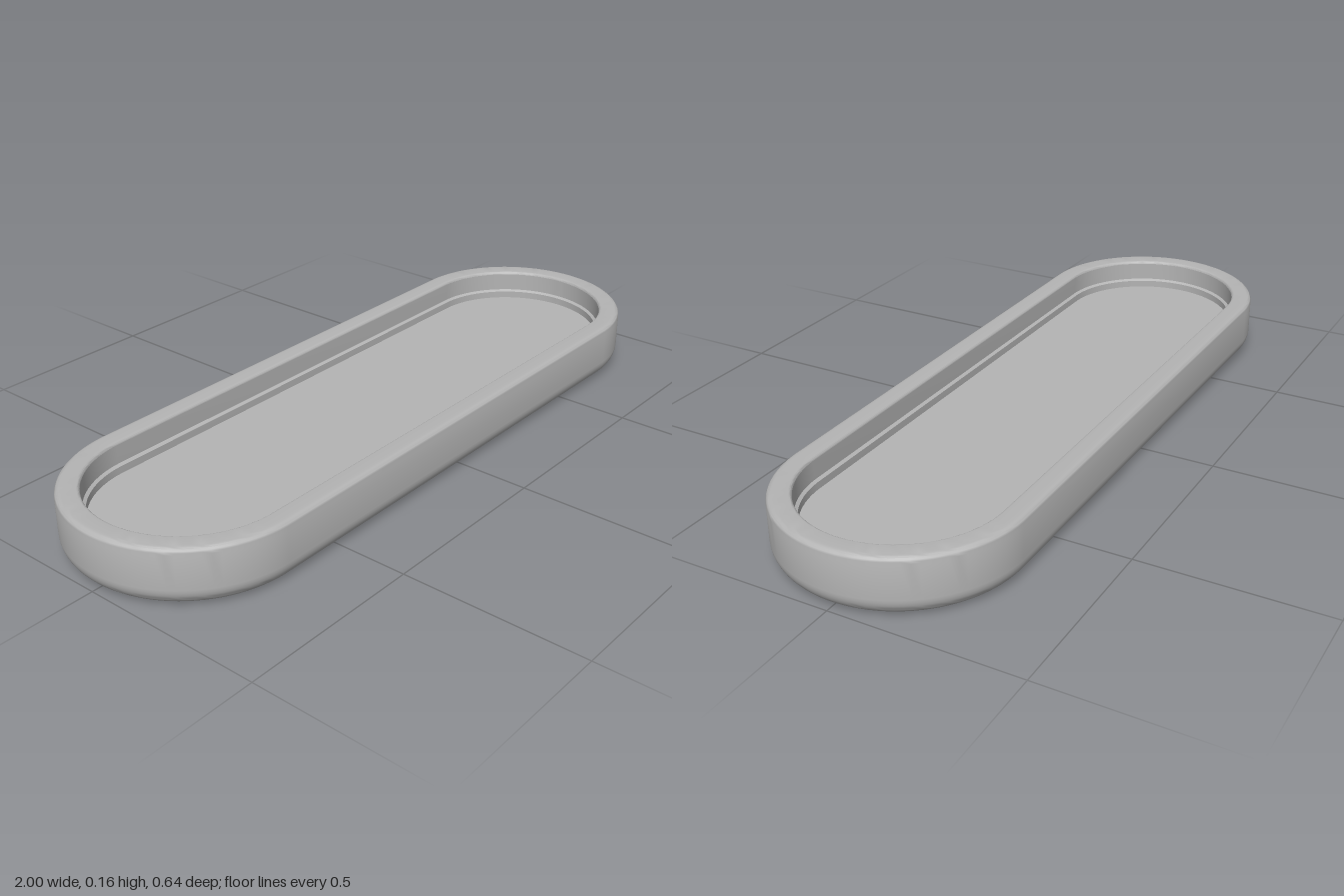
import * as THREE from 'three';
import { toCreasedNormals } from 'three/addons/utils/BufferGeometryUtils.js';

const END = 0.68;   // distance from the middle to the centre of each round end
const SEGS = 96;

// Revolve a [radius, y] profile, then pull its two halves apart into a stadium.
function stadium(profile) {
  const points = profile.map(([r, y]) => new THREE.Vector2(r, y));
  const geo = new THREE.LatheGeometry(points, SEGS, Math.PI / SEGS);
  const pos = geo.attributes.position;
  for (let i = 0; i < pos.count; i++) {
    const step = Math.floor(i / points.length) % SEGS;
    pos.setX(i, pos.getX(i) + (step < SEGS / 2 ? END : -END));
  }
  return toCreasedNormals(geo, 0.5);
}

// Points of a quarter-round fillet, from angle a to angle b in degrees.
function fillet(cx, cy, radius, a, b, steps) {
  return Array.from({ length: steps + 1 }, (_, i) => {
    const t = THREE.MathUtils.degToRad(a + (b - a) * i / steps);
    return [cx + radius * Math.cos(t), cy + radius * Math.sin(t)];
  });
}

export function createModel() {
  const group = new THREE.Group();
  group.name = 'tray';
  const grey = new THREE.MeshStandardMaterial({ color: 0xb4b4b4 });
  grey.name = 'grey';

  const add = (name, profile) => {
    const mesh = new THREE.Mesh(stadium(profile), grey);
    mesh.name = name;
    group.add(mesh);
  };

  // Outer shell: flat underside, large bottom fillet, wall, softened rim
  add('shell', [
    [0, 0], [0.262, 0],
    ...fillet(0.267, 0.053, 0.053, -90, 0, 10),
    [0.32, 0.058], [0.32, 0.14],
    ...fillet(0.305, 0.145, 0.015, 0, 90, 5),
    [0.3, 0.16], [0.27, 0.16],
    ...fillet(0.268, 0.152, 0.008, 90, 180, 4),
  ]);

  // Inner wall, with a narrow ledge just above the floor
  add('innerWall', [
    [0.26, 0.152], [0.26, 0.1], [0.252, 0.095], [0.252, 0.075],
  ]);

  // Recessed floor
  add('floor', [[0.252, 0.075], [0, 0.075]]);

  return group;
}
